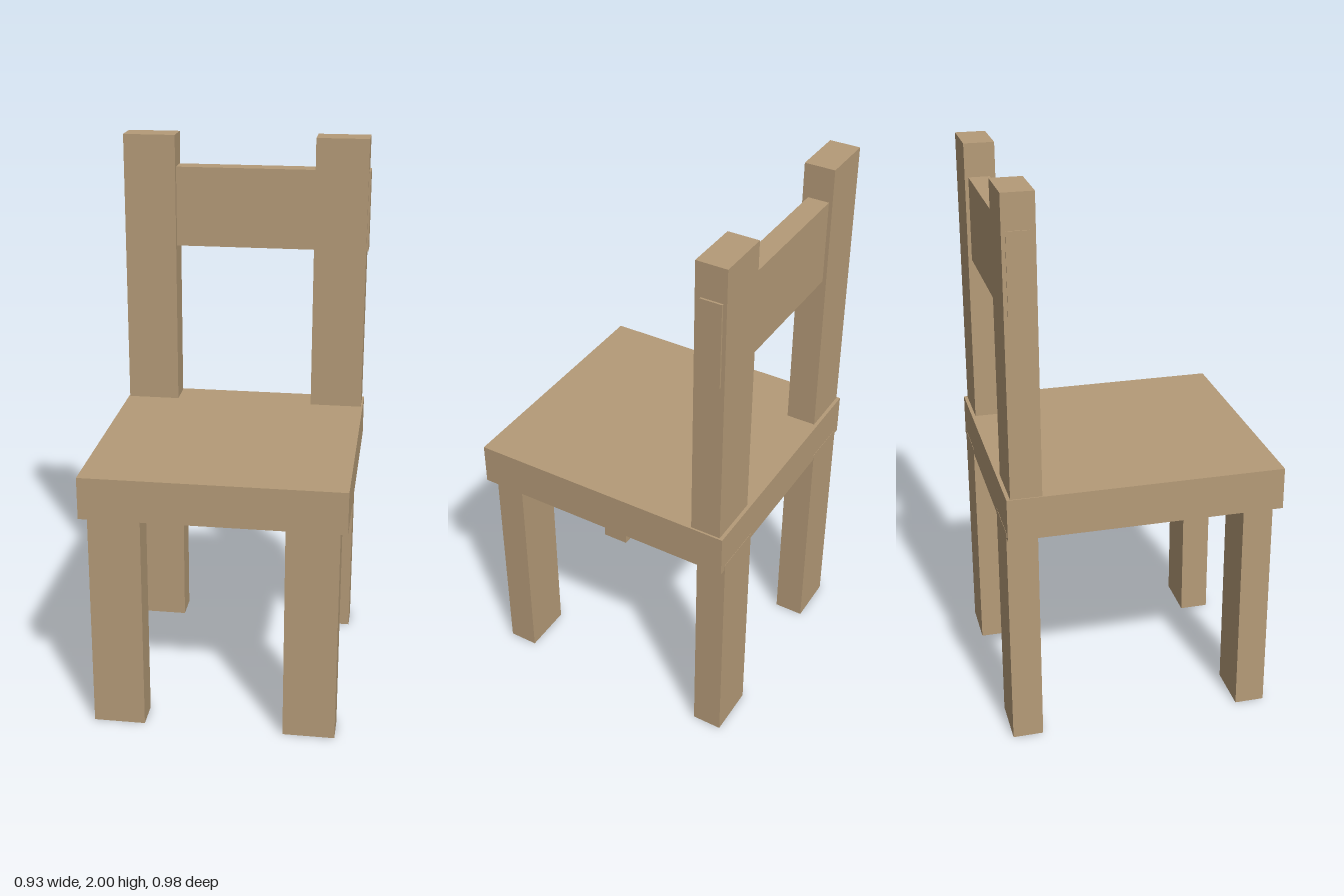
import * as THREE from 'three';

export function createModel() {
  const chair = new THREE.Group();
  chair.name = 'chair';
  const wood = new THREE.MeshStandardMaterial({ color: 0xb59b78 });
  wood.name = 'light wood';

  // Box given by its lower and upper limits on each axis
  function block(name, [x0, x1], [y0, y1], [z0, z1]) {
    const mesh = new THREE.Mesh(new THREE.BoxGeometry(x1 - x0, y1 - y0, z1 - z0), wood);
    mesh.position.set((x0 + x1) / 2, (y0 + y1) / 2, (z0 + z1) / 2);
    mesh.name = name;
    chair.add(mesh);
  }

  block('seat', [-0.465, 0.463], [0.815, 0.968], [-0.49, 0.49]);

  // Legs, set slightly into the seat, and back posts standing on it
  const sides = [
    { side: 'right', leg: [-0.44, -0.254], post: [-0.461, -0.266] },
    { side: 'left', leg: [0.25, 0.437], post: [0.26, 0.456] },
  ];
  for (const { side, leg, post } of sides) {
    block(`${side}FrontLeg`, leg, [0, 0.835], [0.354, 0.462]);
    block(`${side}BackLeg`, leg, [0, 0.835], [-0.491, -0.382]);
    block(`${side}BackPost`, post, [0.96, 2], [-0.477, -0.368]);
  }

  // Rail passing through both posts, its ends just proud of them
  block('backRail', [-0.465, 0.463], [1.58, 1.88], [-0.464, -0.388]);

  return chair;
}
